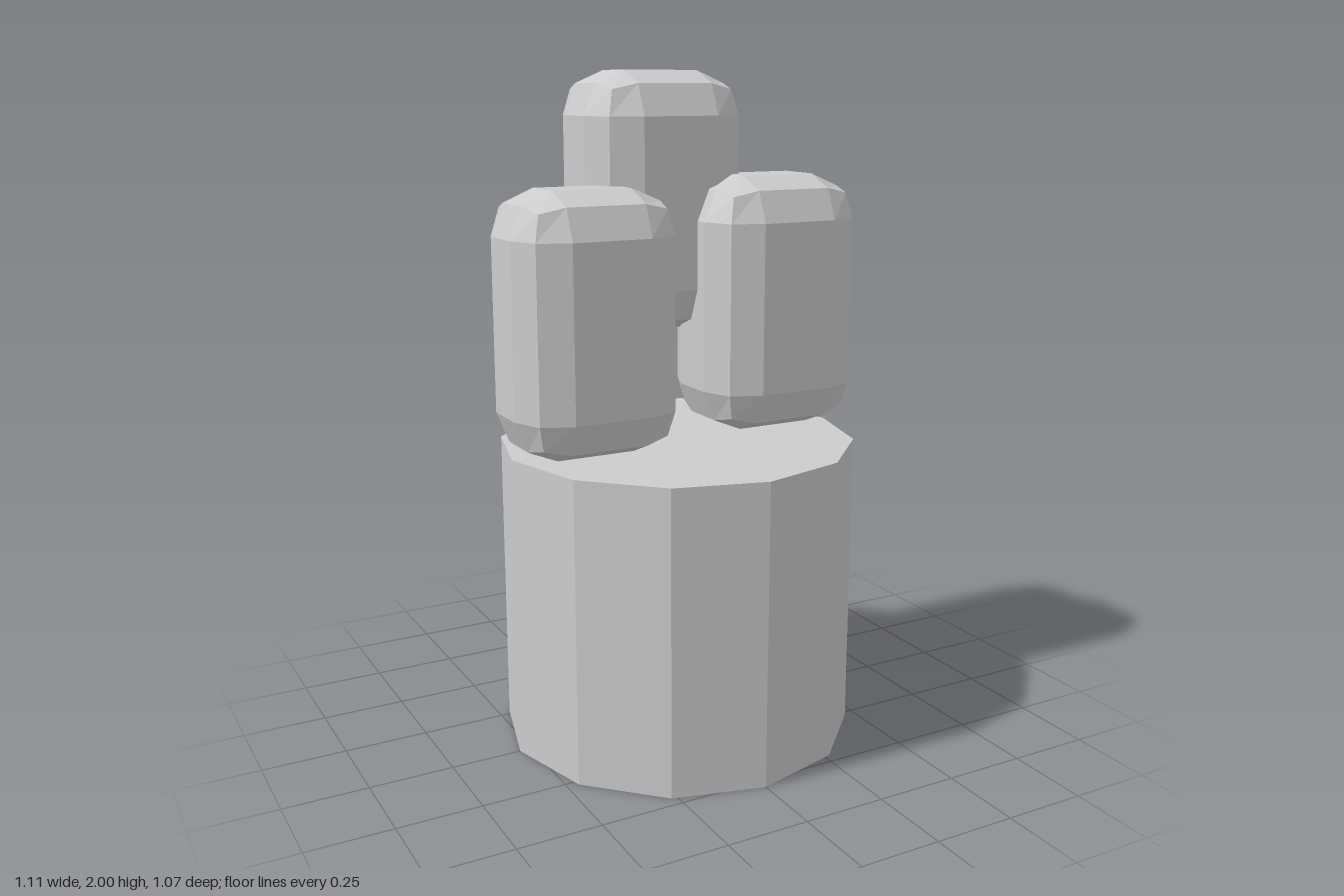
import * as THREE from 'three';

// Box with every edge rounded by two facets, built from a 3x3 grid on each side
function facetedBox(width, height, depth, radius) {
  const geometry = new THREE.BoxGeometry(1, 1, 1, 3, 3, 3);
  const core = new THREE.Vector3(width, height, depth).multiplyScalar(0.5).subScalar(radius);
  const position = geometry.attributes.position;
  const p = new THREE.Vector3();
  const outer = (v) => (Math.abs(v) > 0.4 ? Math.sign(v) : 0);
  for (let i = 0; i < position.count; i++) {
    p.fromBufferAttribute(position, i);
    const normal = new THREE.Vector3(outer(p.x), outer(p.y), outer(p.z)).normalize();
    p.set(Math.sign(p.x), Math.sign(p.y), Math.sign(p.z)).multiply(core).addScaledVector(normal, radius);
    position.setXYZ(i, p.x, p.y, p.z);
  }
  geometry.computeVertexNormals();
  return geometry;
}

export function createModel() {
  const model = new THREE.Group();
  model.name = 'blocksOnPedestal';

  const grey = new THREE.MeshStandardMaterial({ color: 0xcccccc });
  grey.name = 'light grey';
  grey.flatShading = true;

  const add = (name, geometry, x, y, z) => {
    const mesh = new THREE.Mesh(geometry, grey);
    mesh.name = name;
    mesh.position.set(x, y, z);
    model.add(mesh);
  };

  // Twelve-sided pedestal
  const pedestalHeight = 0.911;
  add('pedestal', new THREE.CylinderGeometry(0.537, 0.537, pedestalHeight, 12), 0, pedestalHeight / 2, 0);

  // Three rounded blocks: two in front, one raised behind
  const block = facetedBox(0.5, 0.766, 0.4, 0.13);
  add('rightBlock', block, -0.303, 1.292, 0);
  add('leftBlock', block, 0.303, 1.315, 0);
  add('upperBlock', block, 0, 1.617, -0.168);

  return model;
}
